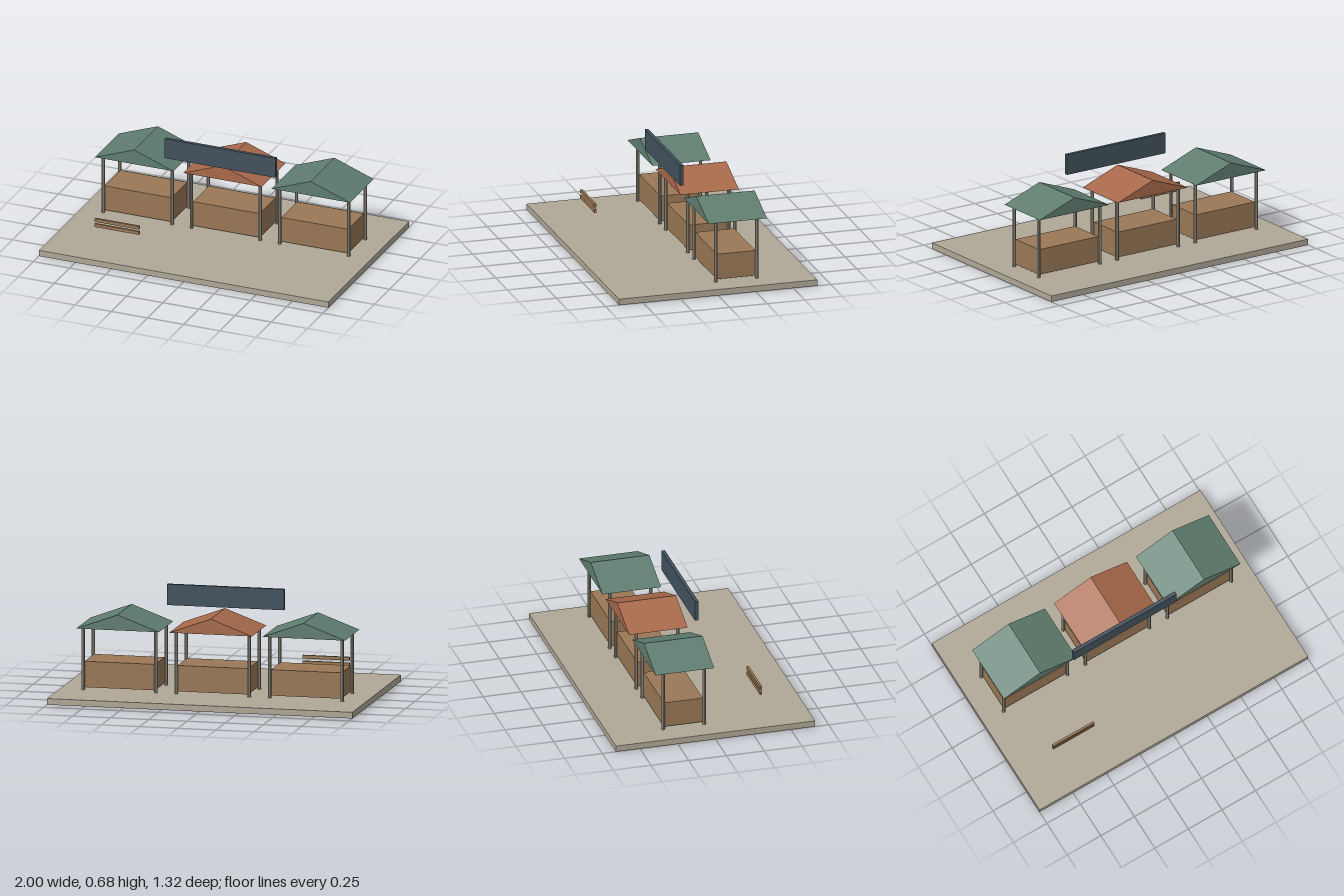
import * as THREE from 'three';

export function createModel() {
  const model = new THREE.Group();
  model.name = 'marketStalls';

  const material = (name, color) => {
    const m = new THREE.MeshStandardMaterial({ color });
    m.name = name;
    return m;
  };
  const paving = material('paving', 0xb0a898);
  const wood = material('wood', 0x9a7856);
  const postMetal = material('postMetal', 0xa09a8c);
  postMetal.flatShading = true;
  const greenRoof = material('greenRoof', 0x5f7d70);
  const redRoof = material('redRoof', 0xa8694b);
  const slate = material('slate', 0x42525d);

  const add = (parent, name, geometry, mat, x, y, z) => {
    const mesh = new THREE.Mesh(geometry, mat);
    mesh.name = name;
    mesh.position.set(x, y, z);
    parent.add(mesh);
    return mesh;
  };
  const box = (parent, name, w, h, d, mat, x, y, z) =>
    add(parent, name, new THREE.BoxGeometry(w, h, d), mat, x, y, z);

  // Paved base
  box(model, 'base', 2, 0.04, 1.32, paving, 0, 0.02, 0);

  // Gable roof: triangle extruded along z, centred on its length
  const gable = new THREE.Shape([
    new THREE.Vector2(-0.271, 0),
    new THREE.Vector2(0.271, 0),
    new THREE.Vector2(0, 0.1),
  ]);
  const roofGeometry = new THREE.ExtrudeGeometry(gable, { depth: 0.388, bevelEnabled: false });
  roofGeometry.translate(0, 0, -0.194);
  const postGeometry = new THREE.CylinderGeometry(0.0115, 0.0115, 0.405, 8);

  // Three stalls, each with a counter, four posts and a roof
  const stall = (name, x, roofMaterial) => {
    const group = new THREE.Group();
    group.name = name;
    group.position.set(x, 0, -0.168);
    box(group, 'counter', 0.462, 0.168, 0.258, wood, 0, 0.138, 0);
    for (const sx of [-1, 1]) {
      for (const sz of [-1, 1]) {
        add(group, 'post', postGeometry, postMetal, sx * 0.238, 0.2425, sz * 0.136);
      }
    }
    add(group, 'roof', roofGeometry, roofMaterial, 0, 0.444, 0);
    model.add(group);
  };
  stall('rightStall', -0.61, greenRoof);
  stall('middleStall', 0, redRoof);
  stall('leftStall', 0.61, greenRoof);

  // Sign board above the middle stall
  box(model, 'signBoard', 0.766, 0.135, 0.023, slate, 0, 0.612, 0.052);

  // Pair of bench slats
  const bench = new THREE.Group();
  bench.name = 'bench';
  for (const y of [0.147, 0.184]) {
    box(bench, 'slat', 0.306, 0.022, 0.015, wood, -0.578, y, 0.379);
  }
  model.add(bench);

  return model;
}
